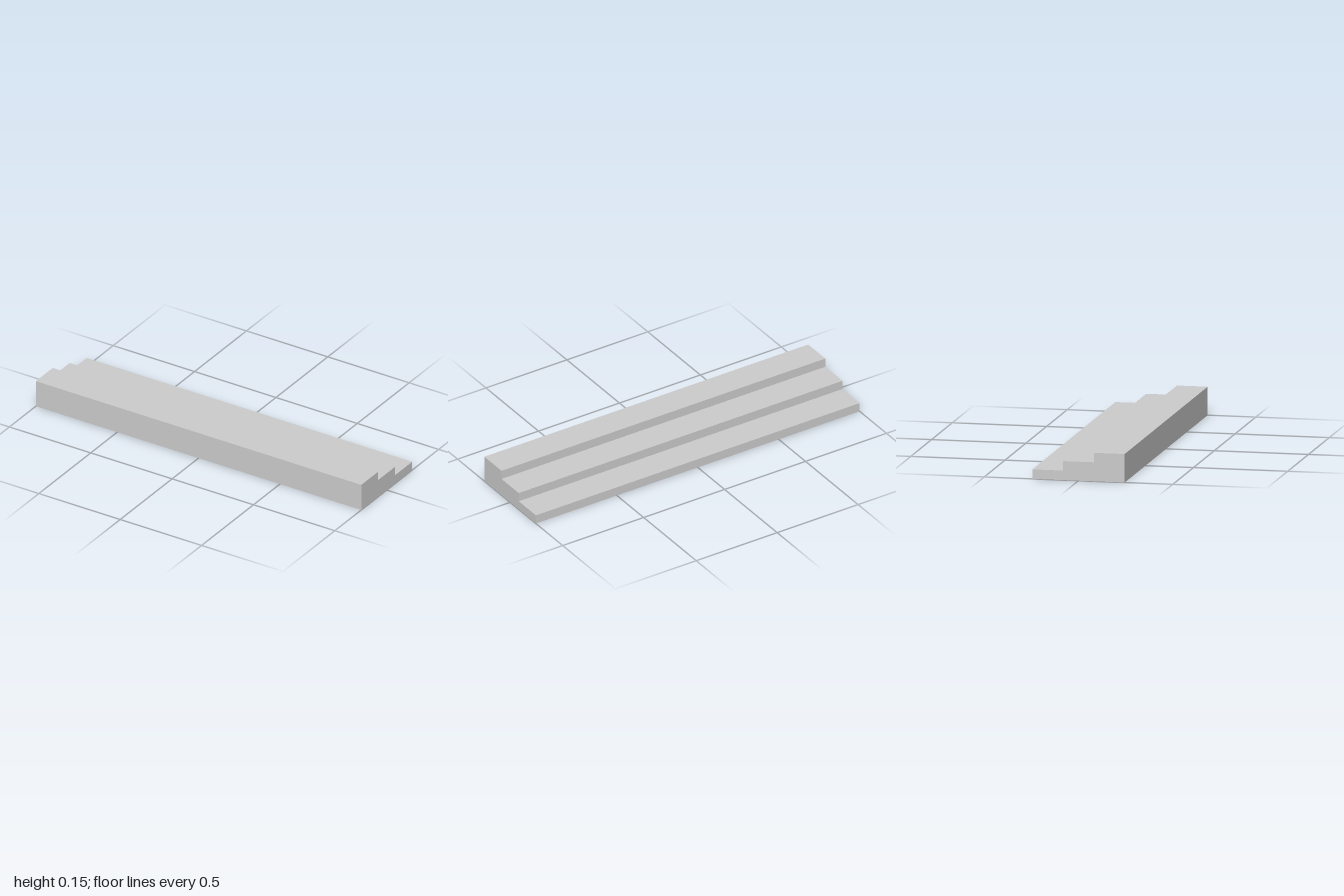
import * as THREE from 'three';

// Three-step stair block: tall at the front, descending towards the back
export function createModel() {
  const width = 2, depth = 0.49, rise = 0.05, steps = 3;
  const tread = depth / steps;

  // Side profile, drawn with the front at -x
  const profile = new THREE.Shape();
  profile.moveTo(-depth / 2, 0);
  profile.lineTo(depth / 2, 0);
  for (let i = 0; i < steps; i++) {
    const y = rise * (i + 1);
    profile.lineTo(depth / 2 - i * tread, y);
    profile.lineTo(depth / 2 - (i + 1) * tread, y);
  }
  profile.closePath();

  // Sweep the profile along the width and turn it to run along x
  const geometry = new THREE.ExtrudeGeometry(profile, { depth: width, bevelEnabled: false });
  geometry.translate(0, 0, -width / 2);
  geometry.rotateY(Math.PI / 2);

  const stairs = new THREE.Mesh(geometry, new THREE.MeshStandardMaterial({ color: 0xcccccc }));
  stairs.name = 'steps';

  const model = new THREE.Group();
  model.name = 'stairBlock';
  model.add(stairs);
  return model;
}
